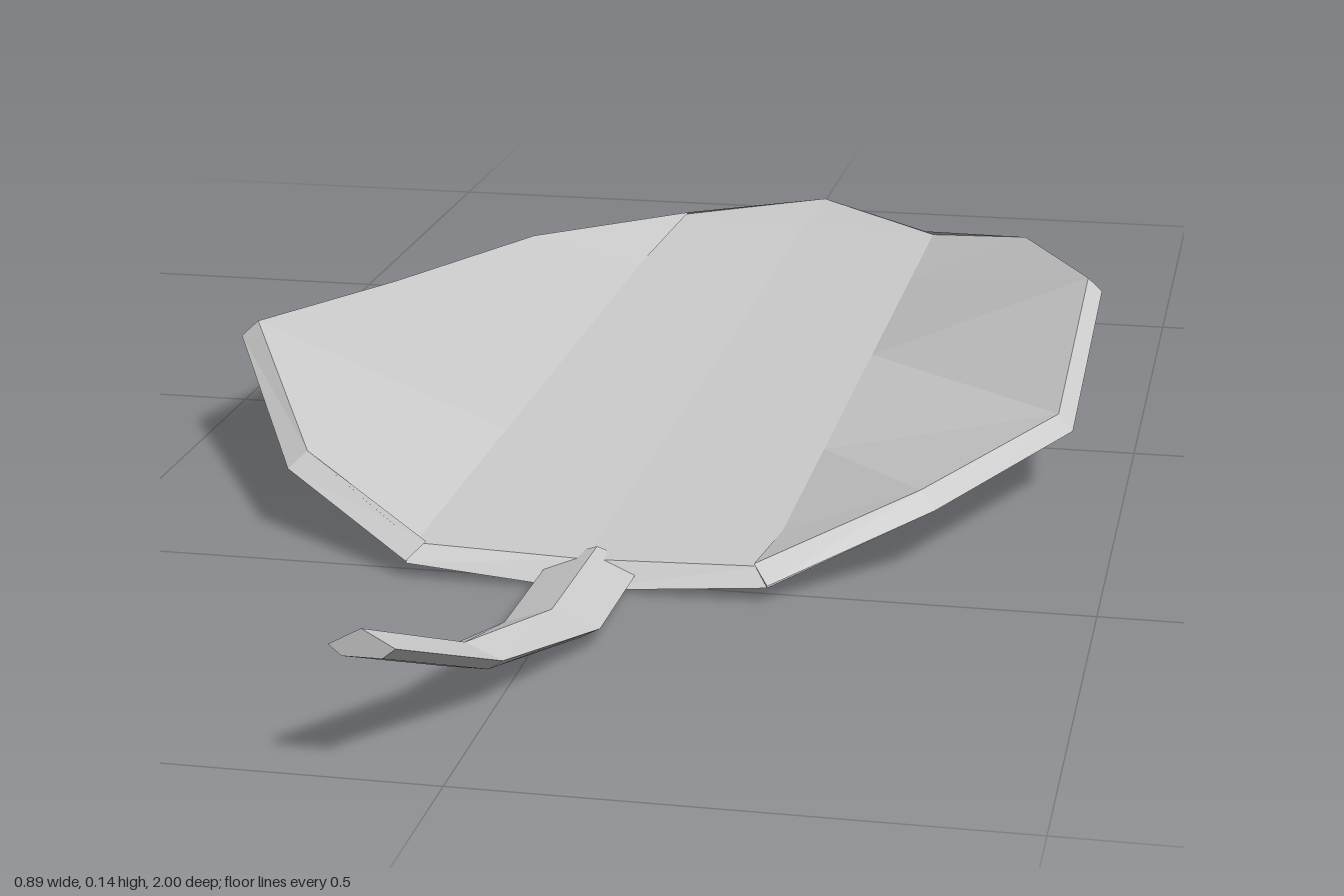
import * as THREE from 'three';

// Joins closed rings of points into a capped, faceted skin, dropping collapsed triangles.
function loft(rings, caps) {
  const out = [];
  const tri = (a, b, c) => {
    const n = b.clone().sub(a).cross(c.clone().sub(a));
    if (n.length() > 1e-8) for (const p of [a, b, c]) out.push(p.x, p.y, p.z);
  };
  const quad = (a, b, c, d) => { tri(a, b, c); tri(a, c, d); };
  for (let i = 0; i < rings.length - 1; i++) {
    const a = rings[i], b = rings[i + 1], n = a.length;
    for (let j = 0; j < n; j++) {
      const k = (j + 1) % n;
      quad(a[j], b[j], b[k], a[k]);
    }
  }
  caps(rings[0], (a, b, c) => tri(a, b, c));
  caps(rings[rings.length - 1], (a, b, c) => tri(a, c, b));
  const g = new THREE.BufferGeometry();
  g.setAttribute('position', new THREE.Float32BufferAttribute(out, 3));
  g.computeVertexNormals();
  return g;
}

// Caps a ring by pairing points from its two ends.
function zipCap(r, tri) {
  for (let i = 0, j = r.length - 1; i < j - 1; i++, j--) {
    tri(r[i], r[i + 1], r[j]);
    if (i + 1 < j - 1) tri(r[i + 1], r[j - 1], r[j]);
  }
}

// Blade stations: left edge x, y, z, then right edge x, y, z
const stations = [
  [0.01, 0.024, -1.0, 0.01, 0.024, -1.0],
  [-0.165, 0.038, -0.83, 0.19, 0.038, -0.79],
  [-0.31, 0.068, -0.55, 0.34, 0.09, -0.58],
  [-0.40, 0.09, -0.22, 0.445, 0.14, -0.21],
  [-0.45, 0.14, 0.15, 0.445, 0.088, 0.15],
  [-0.315, 0.086, 0.42, 0.335, 0.084, 0.415],
  [-0.165, 0.036, 0.525, 0.19, 0.036, 0.525],
];

function bladeGeometry() {
  const v = (x, y, z) => new THREE.Vector3(x, y, z);
  const rings = stations.map(([xl, yl, zl, xr, yr, zr], i) => {
    const tip = i === 0, zm = (zl + zr) / 2;
    const inner = tip ? 0.024 : 0.034;
    const edge = [
      v(xl, yl, zl),
      v(Math.max(xl, -0.165), inner, xl < -0.17 ? zm : zl),
      v(0.01, tip ? 0.024 : 0.029, zm),
      v(Math.min(xr, 0.19), inner, xr > 0.2 ? zm : zr),
      v(xr, yr, zr),
    ];
    // the upper face is drawn in slightly, leaving a bevelled rim
    const top = edge.map((p, j) => v(
      j === 0 || j === 4 ? p.x - Math.sign(p.x) * (tip ? 0 : 0.016) : p.x * 0.97,
      p.y, -0.2 + (p.z + 0.2) * 0.975));
    const bottom = edge.map((p, j) => v(
      p.x, p.y - (tip ? 0.012 : j === 2 ? 0.025 : 0.015), p.z)).reverse();
    return [...top, ...bottom];
  });
  return loft(rings, zipCap);
}

// Stem stations: x, y, z, half width, half height
const stemPath = [
  [0.015, 0.018, 0.48, 0.045, 0.015],
  [0.015, 0.023, 0.67, 0.045, 0.016],
  [-0.025, 0.05, 0.83, 0.034, 0.015],
  [-0.067, 0.123, 1.0, 0.029, 0.016],
];
const stemSection = [[-1, 0], [0, 1], [1, 0], [0.6, -0.6], [-0.6, -0.6]];

function stemGeometry() {
  const rings = stemPath.map(([x, y, z, w, h]) =>
    stemSection.map(([u, t]) => new THREE.Vector3(x + u * w, y + t * h, z)));
  return loft(rings, zipCap);
}

export function createModel() {
  const model = new THREE.Group();
  model.name = 'leaf';
  const material = new THREE.MeshStandardMaterial({ color: 0xcccccc, flatShading: true });
  const add = (name, geometry) => {
    const mesh = new THREE.Mesh(geometry, material);
    mesh.name = name;
    model.add(mesh);
  };
  add('blade', bladeGeometry());
  add('stem', stemGeometry());
  return model;
}
